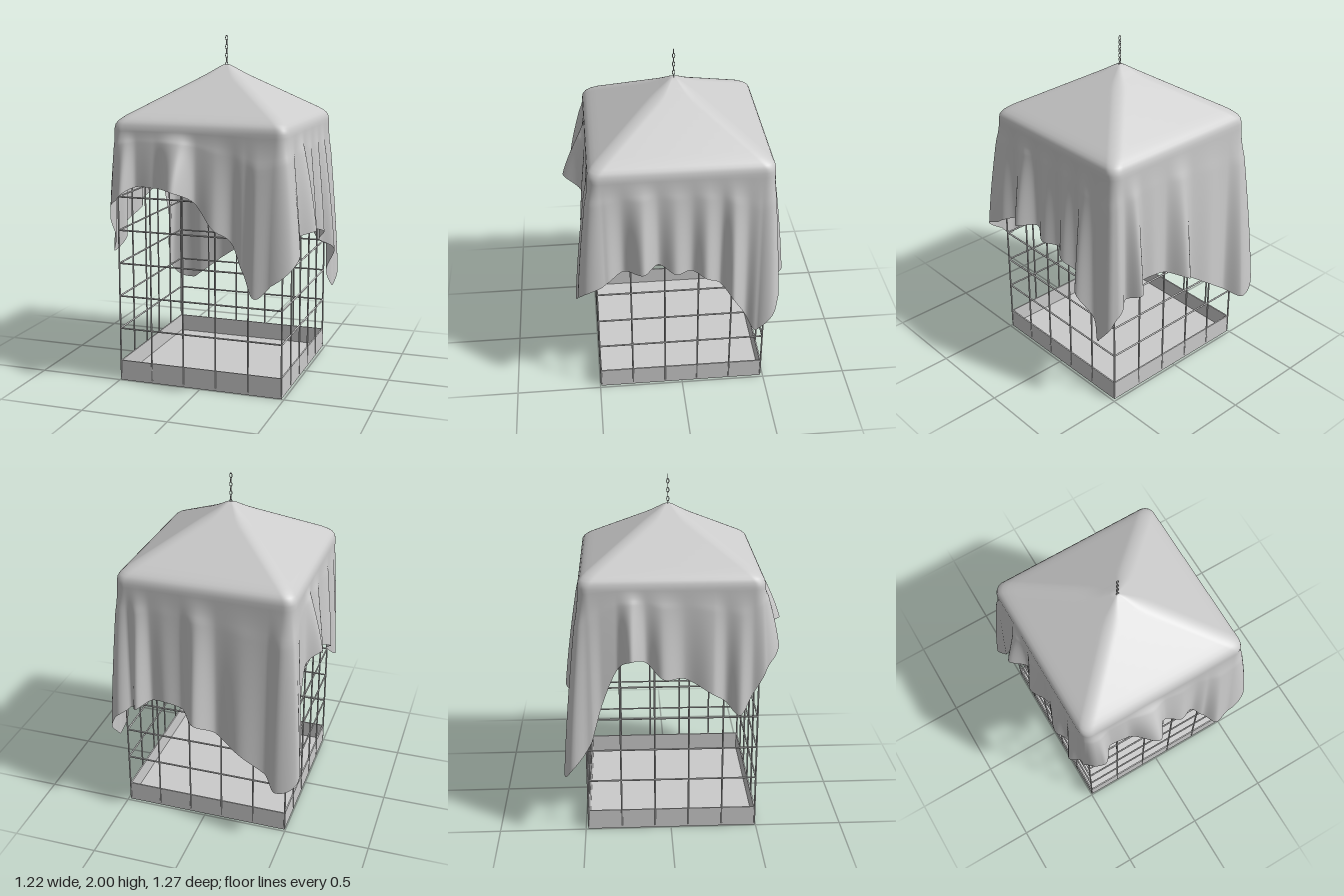
import * as THREE from 'three';

const mat = new THREE.MeshStandardMaterial({ color: 0xcccccc });
const clothMat = new THREE.MeshStandardMaterial({ color: 0xcccccc, side: THREE.DoubleSide });
const HALF = 0.488, FLOOR = 0.015, RIM = 1.485, STEP = 0.195, WIRE = 0.005;

function add(parent, name, geometry, x = 0, y = 0, z = 0) {
  const mesh = new THREE.Mesh(geometry, mat);
  mesh.name = name;
  mesh.position.set(x, y, z);
  parent.add(mesh);
  return mesh;
}

// Straight rod between two points
function rod(parent, name, a, b, r = WIRE) {
  const dir = b.clone().sub(a);
  const mesh = add(parent, name, new THREE.CylinderGeometry(r, r, dir.length(), 8));
  mesh.position.copy(a).add(b).multiplyScalar(0.5);
  mesh.quaternion.setFromUnitVectors(new THREE.Vector3(0, 1, 0), dir.normalize());
}

// Hem and folds around the cloth: [side + fraction along it, hem height, fold depth]
// Sides run front, right (+x), back, left (-x)
const FOLDS = [
  [0, 1.0, 0.04], [0.08, 1.12, 0.09], [0.15, 1.165, 0.02], [0.25, 1.165, 0.03],
  [0.4, 1.165, 0.14], [0.5, 1.09, 0.03], [0.6, 0.96, 0.05], [0.7, 0.88, 0.012],
  [0.77, 0.73, 0.04], [0.85, 0.6, 0.1], [0.93, 0.66, 0.085], [1.0, 0.77, 0.1],
  [1.08, 0.85, 0.06], [1.17, 0.89, 0.01], [1.28, 0.92, 0.1], [1.37, 0.925, 0.01],
  [1.46, 0.88, 0.055], [1.55, 0.87, 0.01], [1.63, 0.84, 0.06], [1.71, 0.77, 0.01],
  [1.78, 0.7, 0.09], [1.86, 0.53, 0.02], [1.92, 0.43, 0.05], [1.98, 0.55, 0.08],
  [2.02, 0.64, 0.07], [2.07, 0.7, 0.01], [2.13, 0.74, 0.09], [2.2, 0.77, 0.01],
  [2.28, 0.78, 0.025], [2.37, 0.75, 0.01], [2.47, 0.71, 0.11], [2.58, 0.62, 0.015],
  [2.72, 0.52, 0.045], [2.86, 0.41, 0.02], [2.95, 0.355, 0.11], [3.0, 0.42, 0.12],
  [3.05, 0.57, 0.05], [3.12, 0.82, 0.02], [3.2, 1.02, 0.02], [3.28, 1.1, 0.1],
  [3.36, 1.06, 0.01], [3.45, 0.98, 0.065], [3.57, 0.96, 0.01], [3.72, 0.88, 0.055],
  [3.79, 0.82, 0.01], [3.87, 0.75, 0.055], [3.94, 0.86, 0.01],
];

// Hem follows a Hermite curve, folds swell and sink smoothly
function drape(s) {
  const n = FOLDS.length;
  const at = (i) => {
    const p = FOLDS[(i + n) % n];
    return [p[0] + (i < 0 ? -4 : i >= n ? 4 : 0), p[1], p[2]];
  };
  let i = 0;
  while (i < n - 1 && FOLDS[i + 1][0] <= s) i++;
  const [p, a, b, q] = [at(i - 1), at(i), at(i + 1), at(i + 2)];
  const w = b[0] - a[0], t = (s - a[0]) / w, t2 = t * t, t3 = t2 * t;
  const ma = w * (b[1] - p[1]) / (b[0] - p[0]), mb = w * (q[1] - a[1]) / (q[0] - a[0]);
  const ease = 3 * t2 - 2 * t3;
  return {
    hem: a[1] * (1 - ease) + b[1] * ease + ma * (t3 - 2 * t2 + t) + mb * (t3 - t2),
    fold: a[2] + (b[2] - a[2]) * ease,
  };
}

// Point and outward direction on a rounded square ring
function ring(s, half, radius) {
  const side = Math.floor(s) % 4, t = (2 * (s % 1) - 1) * half;
  const core = THREE.MathUtils.clamp(t, -(half - radius), half - radius);
  const d = new THREE.Vector2(t - core, radius).normalize();
  const along = core + d.x * radius, out = half - radius + d.y * radius;
  const turn = (a, o) => [[a, o], [o, -a], [-a, -o], [-o, a]][side];
  return { p: turn(along, out), d: turn(d.x, d.y) };
}

function clothGeometry() {
  const COLS = 480, SKIRT = 36, EDGE = 1.485;
  // Roof profile: half width and height, apex to just below the eaves
  const roof = [[0.002, 1.83], [0.015, 1.828], [0.035, 1.818]];
  for (let i = 1; i <= 12; i++) {
    const h = 0.035 + i * 0.0355;
    roof.push([h, 1.838 - 0.61 * h]);
  }
  roof.push([0.483, 1.54], [0.498, 1.526], [0.508, 1.508], [0.512, EDGE]);
  const rows = roof.length + SKIRT, pos = [], index = [];
  for (let r = 0; r < rows; r++) {
    for (let c = 0; c < COLS; c++) {
      const s = (c / COLS) * 4;
      if (r < roof.length) {
        const [h, y] = roof[r];
        const { p } = ring(s, h, Math.min(0.06, h * 0.5));
        pos.push(p[0], y, p[1]);
      } else {
        const v = (r - roof.length + 1) / SKIRT, { hem, fold } = drape(s);
        const { p, d } = ring(s, 0.512, 0.06);
        const swell = fold * (0.65 * v + 0.35 * Math.sin(v * Math.PI / 2)) * Math.min(1, v * 5);
        pos.push(p[0] + d[0] * swell, EDGE + (hem - EDGE) * v, p[1] + d[1] * swell);
      }
      if (r < rows - 1) {
        const k = (c + 1) % COLS, a = r * COLS + c, b = r * COLS + k;
        index.push(a, a + COLS, b + COLS, a, b + COLS, b);
      }
    }
  }
  const g = new THREE.BufferGeometry();
  g.setAttribute('position', new THREE.Float32BufferAttribute(pos, 3));
  g.setIndex(index);
  g.computeVertexNormals();
  return g;
}

export function createModel() {
  const model = new THREE.Group();
  model.name = 'coveredCage';
  const V = (x, y, z) => new THREE.Vector3(x, y, z);

  // Open tray
  const tray = new THREE.Group();
  tray.name = 'tray';
  add(tray, 'trayFloor', new THREE.BoxGeometry(0.98, FLOOR, 0.98), 0, FLOOR / 2, 0);
  for (const k of [-1, 1]) {
    add(tray, 'trayWall', new THREE.BoxGeometry(0.98, 0.12, 0.008), 0, 0.06, k * 0.486);
    add(tray, 'trayWall', new THREE.BoxGeometry(0.008, 0.12, 0.964), k * 0.486, 0.06, 0);
  }
  model.add(tray);

  // Wire grid on four sides
  const cage = new THREE.Group();
  cage.name = 'cage';
  for (let side = 0; side < 4; side++) {
    const panel = new THREE.Group();
    panel.name = 'wirePanel';
    panel.rotation.y = side * Math.PI / 2;
    for (let i = 0; i < 5; i++) {
      const x = -HALF + i * STEP;
      rod(panel, 'uprightWire', V(x, FLOOR, HALF), V(x, RIM, HALF));
    }
    for (let y = 0.12 + STEP; y < RIM + 0.01; y += STEP) {
      rod(panel, 'crossWire', V(-HALF, y, HALF), V(HALF, y, HALF));
    }
    // Roof rib running up the hip
    rod(panel, 'roofRib', V(HALF, RIM, HALF), V(0, 1.8, 0));
    cage.add(panel);
  }
  model.add(cage);

  // Draped cloth
  const cloth = new THREE.Mesh(clothGeometry(), clothMat);
  cloth.name = 'cloth';
  model.add(cloth);

  // Hanging chain of alternating links
  const chain = new THREE.Group();
  chain.name = 'chain';
  for (let i = 0; i < 7; i++) {
    const link = add(chain, 'chainLink', new THREE.TorusGeometry(0.007, 0.002, 6, 16), 0, 1.83 + i * 0.0255, 0);
    link.scale.y = 1.9;
    link.rotation.y = (i % 2) * Math.PI / 2;
  }
  model.add(chain);

  for (const part of model.children) part.position.set(-0.005, 0, 0.005);
  return model;
}
